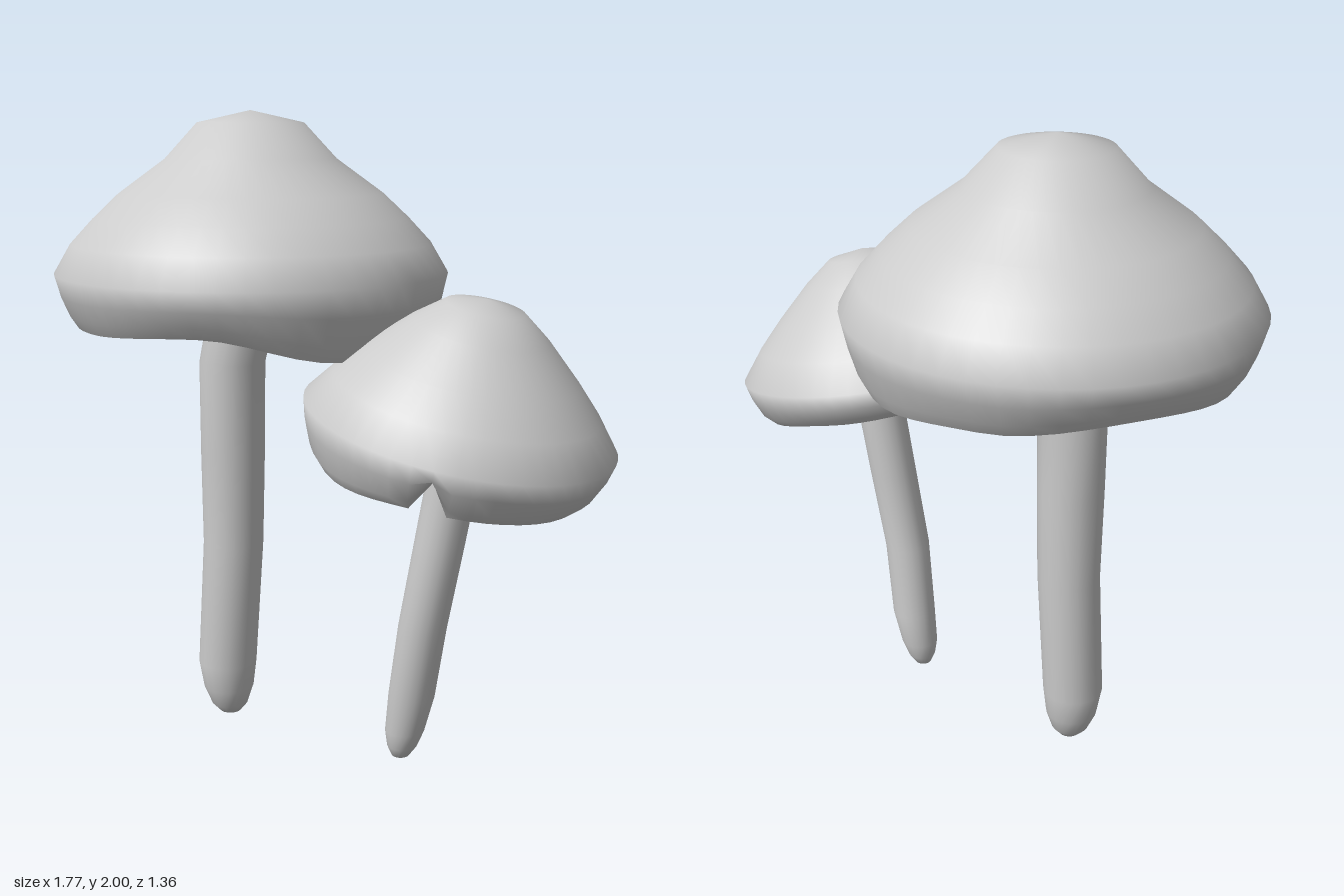
import * as THREE from 'three';
import { mergeVertices } from 'three/addons/utils/BufferGeometryUtils.js';

const material = new THREE.MeshStandardMaterial({ color: 0xcccccc, side: THREE.DoubleSide });

function addMesh(parent, name, geometry) {
  const mesh = new THREE.Mesh(geometry, material);
  mesh.name = name;
  parent.add(mesh);
}

// Smooth closed wave through evenly spaced rim heights, starting at the front and going left
function rimWave(lifts) {
  return (t) => {
    const p = (t / (Math.PI * 2)) * lifts.length;
    const i = Math.floor(p);
    const blend = (1 - Math.cos((p - i) * Math.PI)) / 2;
    return THREE.MathUtils.lerp(lifts[i % lifts.length], lifts[(i + 1) % lifts.length], blend);
  };
}

// Revolve [radius, y, waviness] rows; wave(angle) lifts each vertex by its row's waviness
function wavyLathe(rows, wave, faceted) {
  const segments = 48;
  let geometry = new THREE.LatheGeometry(rows.map(([r, y]) => new THREE.Vector2(r, y)), segments);
  const pos = geometry.attributes.position;
  for (let i = 0; i < pos.count; i++) {
    const turn = Math.floor(i / rows.length) % segments;
    const lift = rows[i % rows.length][2] * wave((turn / segments) * Math.PI * 2);
    pos.setY(i, pos.getY(i) + lift);
  }
  geometry.deleteAttribute('normal');
  geometry.deleteAttribute('uv');
  geometry = faceted ? geometry.toNonIndexed() : mergeVertices(geometry, 1e-4);
  geometry.computeVertexNormals();
  return geometry;
}

// Cap: smooth dome above, faceted underside sharing the same wavy rim
function makeCap(name, dome, underside, wave) {
  const cap = new THREE.Group();
  cap.name = name;
  addMesh(cap, name + 'Dome', wavyLathe(dome, wave, false));
  addMesh(cap, name + 'Underside', wavyLathe([...underside, dome[0]], wave, true));
  return cap;
}

// Stem: loft of horizontal rings [x, y, z, radius], from rounded foot to top
function makeStem(rings) {
  const sides = 20;
  const positions = [];
  const index = [];
  rings.forEach(([x, y, z, r], k) => {
    for (let s = 0; s < sides; s++) {
      const a = (s / sides) * Math.PI * 2;
      positions.push(x + r * Math.sin(a), y, z + r * Math.cos(a));
      if (k === 0) continue;
      const s2 = (s + 1) % sides;
      const a0 = (k - 1) * sides + s, b0 = (k - 1) * sides + s2;
      const a1 = k * sides + s, b1 = k * sides + s2;
      index.push(a0, b0, b1, a0, b1, a1);
    }
  });
  const geometry = new THREE.BufferGeometry();
  geometry.setAttribute('position', new THREE.Float32BufferAttribute(positions, 3));
  geometry.setIndex(index);
  geometry.computeVertexNormals();
  return geometry;
}

export function createModel() {
  const group = new THREE.Group();
  group.name = 'mushrooms';

  // Large mushroom
  const largeCap = makeCap('largeCap', [
    [0.545, 1.335, 1], [0.57, 1.375, 0.8], [0.595, 1.44, 0.3], [0.613, 1.51, 0],
    [0.56, 1.6, 0], [0.49, 1.675, 0], [0.41, 1.75, 0], [0.265, 1.855, 0],
    [0.165, 1.963, 0], [0, 2, 0],
  ], [[0, 1.475, 0], [0.15, 1.45, 0.2]],
  rimWave([0.035, -0.04, -0.035, -0.035, 0.005, 0.04, 0.005, 0.015]));
  largeCap.position.set(-0.275, 0, -0.065);
  group.add(largeCap);
  addMesh(group, 'largeStem', makeStem([
    [-0.37, 0.01, -0.06, 0.005], [-0.37, 0.022, -0.06, 0.035], [-0.372, 0.05, -0.06, 0.06],
    [-0.375, 0.11, -0.06, 0.083], [-0.377, 0.2, -0.06, 0.096], [-0.35, 0.62, -0.06, 0.098],
    [-0.344, 0.92, -0.051, 0.103], [-0.34, 1.22, -0.047, 0.105], [-0.3, 1.4, -0.05, 0.11],
    [-0.285, 1.52, -0.055, 0.11],
  ]));

  // Small mushroom, its cap tilted and notched at the front of the rim
  const smallWave = rimWave([-0.01, -0.01, 0, 0, 0.02, 0.03, 0, -0.035]);
  const smallCap = makeCap('smallCap', [
    [0.4, -0.12, 1], [0.425, -0.095, 0.8], [0.447, -0.045, 0.25], [0.46, 0.01, 0],
    [0.39, 0.1, 0], [0.31, 0.185, 0], [0.2, 0.29, 0],
    [0.115, 0.356, 0], [0, 0.378, 0],
  ], [[0, -0.02, 0], [0.12, -0.04, 0.1]],
  (t) => (t < 0.01 ? 0.08 : smallWave(t)));
  smallCap.position.set(0.432, 1.11, 0.22);
  smallCap.rotation.set(0.08, 0, -0.2);
  group.add(smallCap);
  addMesh(group, 'smallStem', makeStem([
    [0.25, 0, 0.122, 0.005], [0.251, 0.012, 0.122, 0.028], [0.256, 0.045, 0.122, 0.047],
    [0.264, 0.1, 0.123, 0.062], [0.285, 0.22, 0.126, 0.073], [0.322, 0.46, 0.16, 0.075],
    [0.372, 0.74, 0.163, 0.077], [0.418, 1, 0.167, 0.078], [0.442, 1.14, 0.175, 0.078],
  ]));

  return group;
}
